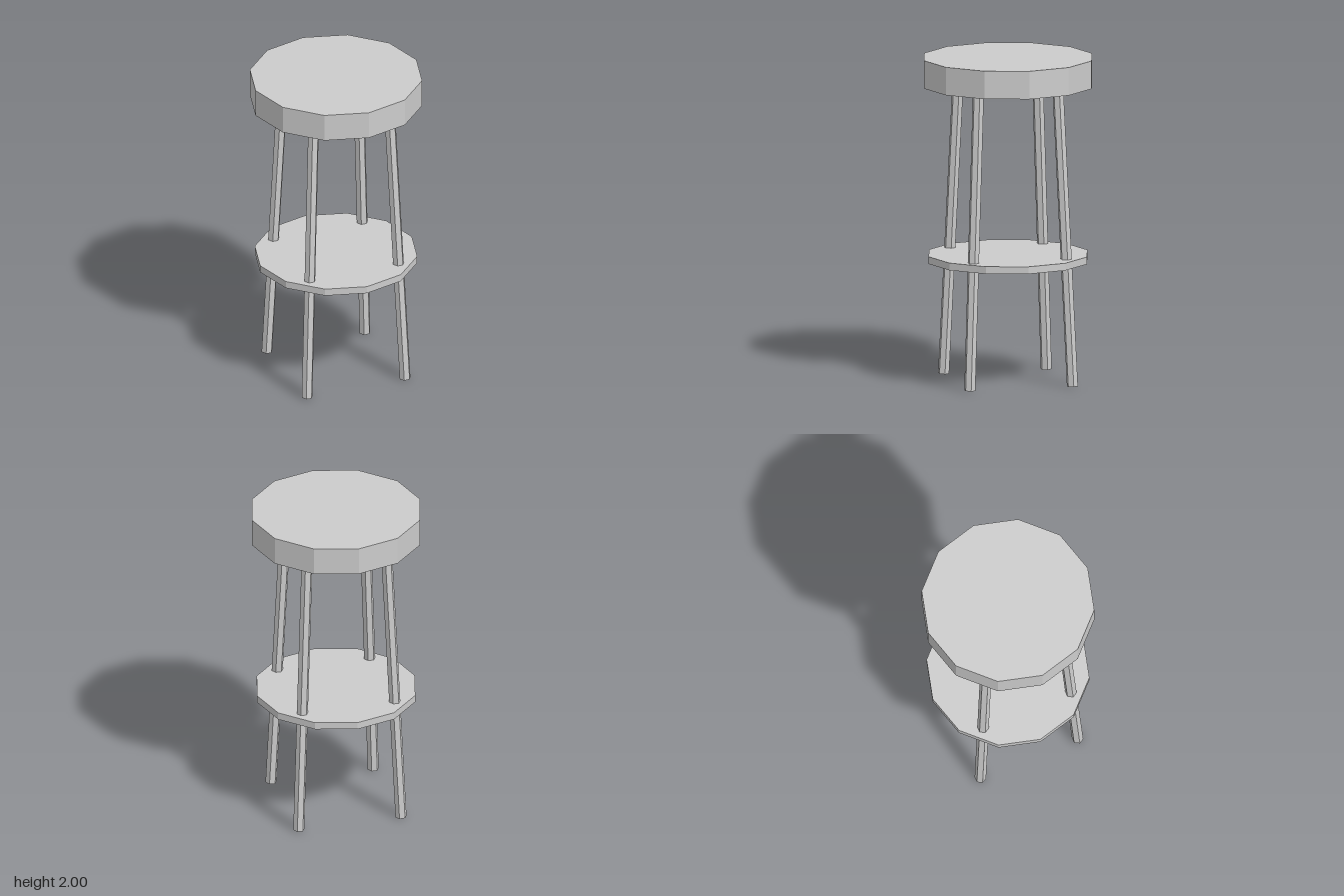
import * as THREE from 'three';

export function createModel() {
  const model = new THREE.Group();
  model.name = 'barStool';
  const grey = new THREE.MeshStandardMaterial({ color: 0xcccccc, flatShading: true });
  grey.name = 'light grey';

  // Twelve-sided discs: thick seat and thin footrest
  function disc(name, radius, bottom, top) {
    const mesh = new THREE.Mesh(new THREE.CylinderGeometry(radius, radius, top - bottom, 12), grey);
    mesh.name = name;
    mesh.position.y = (bottom + top) / 2;
    model.add(mesh);
  }
  disc('seat', 0.53, 1.827, 2);
  disc('footrest', 0.5, 0.74, 0.785);

  // Four six-sided legs, splayed outwards towards the floor
  const up = new THREE.Vector3(0, 1, 0);
  for (const sx of [-1, 1]) {
    for (const sz of [-1, 1]) {
      const foot = new THREE.Vector3(sx * 0.323, 0.002, sz * 0.323);
      const head = new THREE.Vector3(sx * 0.25, 1.84, sz * 0.25);
      const axis = head.clone().sub(foot);
      const geometry = new THREE.CylinderGeometry(0.035, 0.035, axis.length(), 6);
      geometry.rotateY(Math.PI / 6);
      const leg = new THREE.Mesh(geometry, grey);
      leg.name = (sz > 0 ? 'front' : 'back') + (sx > 0 ? 'Left' : 'Right') + 'Leg';
      leg.position.copy(foot).add(head).multiplyScalar(0.5);
      leg.quaternion.setFromUnitVectors(up, axis.normalize());
      model.add(leg);
    }
  }
  return model;
}
